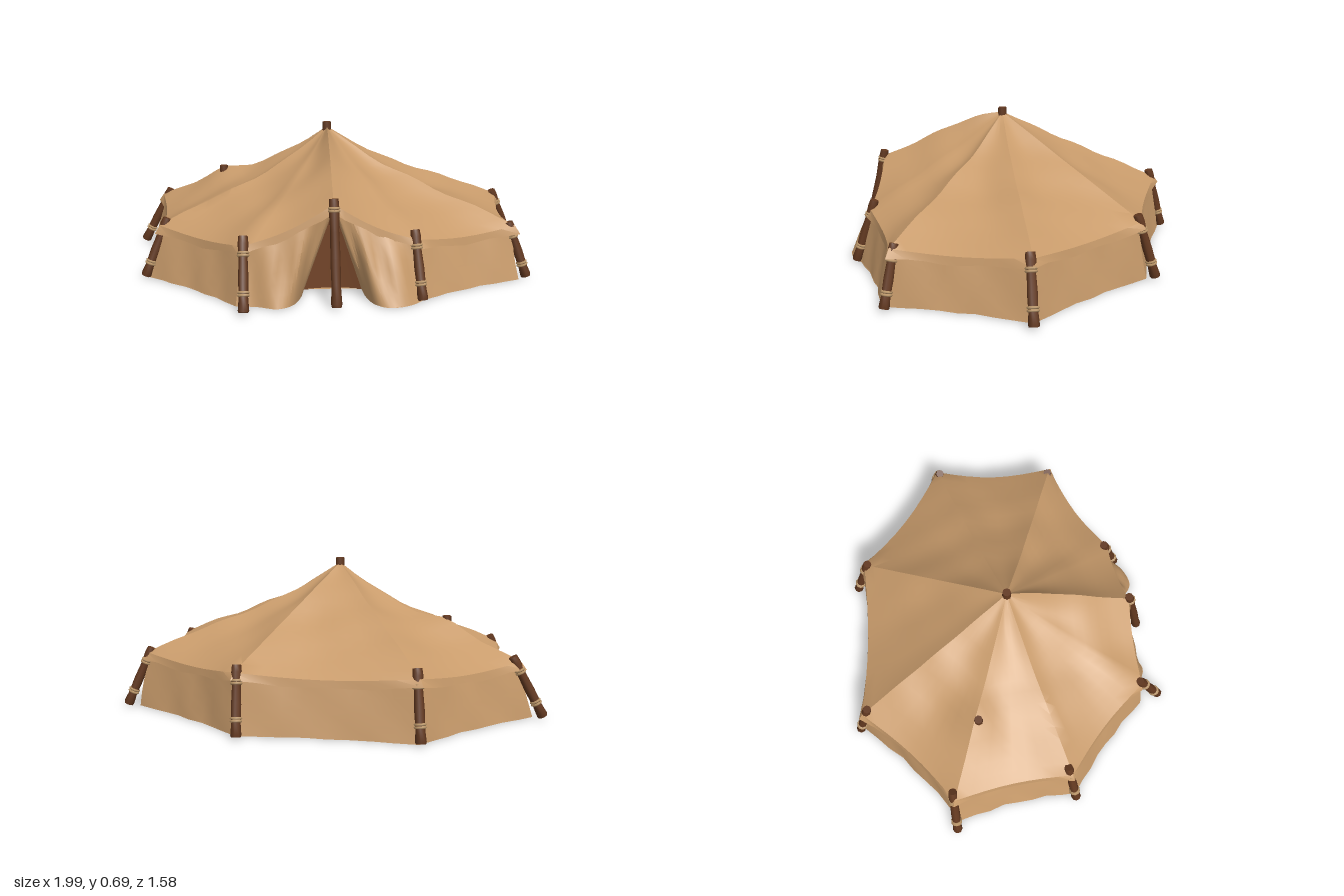
import * as THREE from 'three';
import { toCreasedNormals } from 'three/addons/utils/BufferGeometryUtils.js';

const mat = (name, color, side = THREE.FrontSide) => {
  const m = new THREE.MeshStandardMaterial({ color, side });
  m.name = name;
  return m;
};
const V = (x, y, z) => new THREE.Vector3(x, y, z);

// Corners, counter-clockwise from the entrance: roof rim, wall foot, pole top, pole foot, roof sag
const corners = [
  { rim: V(0, 0.43, 0.61), foot: V(0, 0, 0.6), top: V(0, 0.455, 0.61), base: V(0.01, 0.006, 0.71), sag: -0.03 },
  { rim: V(0.37, 0.26, 0.57), foot: V(0.4, 0, 0.61), top: V(0.355, 0.3, 0.55), base: V(0.385, 0.008, 0.64), sag: 0.02 },
  { rim: V(0.85, 0.25, 0.325), foot: V(0.87, 0, 0.36), top: V(0.82, 0.265, 0.31), base: V(0.91, 0.008, 0.335), sag: 0.035 },
  { rim: V(0.88, 0.26, -0.28), foot: V(0.92, 0, -0.29), top: V(0.86, 0.28, -0.265), base: V(0.975, 0.01, -0.3), sag: 0.035 },
  { rim: V(0.37, 0.27, -0.69), foot: V(0.36, 0, -0.72), top: V(0.36, 0.3, -0.67), base: V(0.35, 0.008, -0.76), sag: 0 },
  { rim: V(-0.42, 0.27, -0.73), foot: V(-0.42, 0, -0.76), top: V(-0.405, 0.31, -0.7), base: V(-0.425, 0.008, -0.775), sag: 0 },
  { rim: V(-0.87, 0.26, -0.315), foot: V(-0.93, 0, -0.3), top: V(-0.83, 0.285, -0.32), base: V(-0.975, 0.01, -0.32), sag: 0.04 },
  { rim: V(-0.8, 0.245, 0.255), foot: V(-0.85, 0, 0.28), top: V(-0.765, 0.275, 0.235), base: V(-0.87, 0.008, 0.28), sag: 0.04 },
  { rim: V(-0.39, 0.26, 0.645), foot: V(-0.42, 0, 0.67), top: V(-0.385, 0.3, 0.63), base: V(-0.38, 0.008, 0.765), sag: 0.03 },
];
const SEG = 8, N = corners.length, COLS = N * SEG;
const apex = V(-0.015, 0.67, 0.01);
const ripple = (x, z) => Math.sin(x * 17 + z * 9) * Math.sin(z * 15 - x * 6 + 1);

// Surface from rows x columns of points
function grid(rows, cols, point, crease = 0.6) {
  const pos = [], idx = [];
  for (let r = 0; r <= rows; r++) for (let c = 0; c <= cols; c++) pos.push(...point(r, c).toArray());
  for (let r = 0; r < rows; r++) for (let c = 0; c < cols; c++) {
    const a = r * (cols + 1) + c, b = a + cols + 1;
    idx.push(a, b, b + 1, a, b + 1, a + 1);
  }
  const g = new THREE.BufferGeometry();
  g.setAttribute('position', new THREE.Float32BufferAttribute(pos, 3));
  g.setIndex(idx);
  return toCreasedNormals(g, crease);
}

// Roof edge at a column: straight between corners, bowed in and sagging
function rimAt(c) {
  const i = Math.floor(c / SEG) % N, u = (c % SEG) / SEG;
  const a = corners[i], b = corners[(i + 1) % N], bow = Math.sin(Math.PI * u);
  const p = a.rim.clone().lerp(b.rim, u);
  const front = i === 0 || i === N - 1;
  p.x *= 1 - (front ? 0 : 0.03) * bow;
  p.z *= 1 - (front ? 0.01 : 0.03) * bow;
  p.y -= 0.025 * bow;
  return { p, bow, sag: THREE.MathUtils.lerp(a.sag, b.sag, u) };
}

// Foot of the plain walls
function footAt(c) {
  const i = Math.floor(c / SEG) % N, u = (c % SEG) / SEG, bow = Math.sin(Math.PI * u);
  const p = corners[i].foot.clone().lerp(corners[(i + 1) % N].foot, u);
  return p.multiplyScalar(1 - 0.025 * bow + 0.008 * bow * Math.sin(c * 2.3));
}

export function createModel() {
  const group = new THREE.Group();
  const canvas = mat('canvas', 0xc89b6b, THREE.DoubleSide);
  const wood = mat('dark wood', 0x633920);
  const rope = mat('rope', 0xbf9a6c);
  const inner = mat('inner cloth', 0x8a5433, THREE.DoubleSide);
  const add = (name, geo, material, parent = group) => {
    const m = new THREE.Mesh(geo, material);
    m.name = name;
    parent.add(m);
    return m;
  };

  // Roof with a hanging edge as its last row
  const RINGS = 14;
  add('roof', grid(RINGS + 1, COLS, (r, c) => {
    const { p: rim, bow, sag } = rimAt(c);
    if (r > RINGS) {
      const out = 1.008 + 0.02 * (1 - bow) ** 3;
      return V(rim.x * out, rim.y - 0.034 - 0.005 * Math.sin(c * 1.7), rim.z * out);
    }
    const t = 0.02 + 0.98 * r / RINGS, p = apex.clone().lerp(rim, t), mid = Math.sin(Math.PI * t);
    p.y -= mid * (1 - t) * sag * 1.8 + mid * bow * 0.008;
    p.y += 0.03 * Math.exp(-((p.x + 0.53) ** 2 + (p.z + 0.17) ** 2) / 0.02);
    p.y += 0.009 * mid * ripple(p.x, p.z);
    return p;
  }), canvas);

  // Walls around the sides and back
  const W0 = SEG, W1 = (N - 1) * SEG;
  add('walls', grid(4, W1 - W0, (r, k) => {
    const c = W0 + k, { p } = rimAt(c), t = r / 4;
    const top = V(p.x * 0.985, p.y - 0.02, p.z * 0.985);
    const q = top.lerp(footAt(c), t);
    const s = 1 + 0.008 * Math.sin(Math.PI * t) * Math.sin(c * 1.9);
    return V(q.x * s, q.y, q.z * s);
  }), canvas);

  // Entrance flaps drawn back in folds
  const FC = 20, flapFeet = [];
  for (const side of [1, -1]) {
    const end = side > 0 ? corners[1] : corners[N - 1];
    const curve = new THREE.CatmullRomCurve3([
      V(0.13, 0, 0.47), V(0.145, 0, 0.58), V(0.18, 0, 0.67), V(0.24, 0, 0.71), V(0.33, 0, 0.68),
    ].map(p => V(p.x * side, 0, p.z)).concat(end.foot));
    const feet = curve.getPoints(FC);
    flapFeet.push(feet);
    add(side > 0 ? 'leftFlap' : 'rightFlap', grid(6, FC, (r, k) => {
      const c = side > 0 ? k : FC - k, u = c / FC, t = r / 6;
      const top = corners[0].rim.clone().lerp(end.rim, u ** 1.3);
      top.y -= 0.02 + 0.02 * Math.sin(Math.PI * u);
      top.z -= 0.01;
      const p = top.lerp(feet[c], t);
      p.z += 0.014 * Math.sin(Math.PI * t) * Math.sin(u * 19);
      return p;
    }, 0.7), canvas);
  }

  // Dark cloth closing the entrance behind the flaps
  add('innerDoor', grid(4, 4, (r, k) =>
    V(0, 0.41, 0.595).lerp(V(-0.13 + 0.065 * k, 0, 0.47 - 0.02 * Math.sin(Math.PI * k / 4)), 0.02 + 0.98 * r / 4)), inner);

  // Ground sheet following the feet of flaps and walls
  const outline = [...flapFeet[0]];
  for (let c = W0 + 1; c < W1; c++) outline.push(footAt(c));
  outline.push(...flapFeet[1].slice().reverse());
  const floor = new THREE.ShapeGeometry(new THREE.Shape(outline.map(p => new THREE.Vector2(p.x, -p.z))));
  floor.rotateX(-Math.PI / 2);
  add('groundSheet', floor, canvas).position.y = 0.003;

  // Leaning poles with rope lashings
  function pole(name, base, top, lashings) {
    const g = new THREE.Group(), len = base.distanceTo(top);
    g.name = name;
    g.position.copy(base);
    g.quaternion.setFromUnitVectors(V(0, 1, 0), top.clone().sub(base).normalize());
    const profile = [[0, 0], [0.021, 0], [0.024, 0.03], [0.02, 0.2], [0.022, 0.45], [0.019, 0.7], [0.023, 0.9], [0.02, 1], [0, 1]]
      .map(([r, t]) => new THREE.Vector2(r, t * len));
    add('shaft', toCreasedNormals(new THREE.LatheGeometry(profile, 8), 0.9), wood, g);
    for (const t of lashings) for (const d of [-0.006, 0.006]) {
      const ring = add('lashing', new THREE.TorusGeometry(0.021, 0.006, 5, 10), rope, g);
      ring.rotation.x = Math.PI / 2;
      ring.position.y = t * len + d;
    }
    group.add(g);
  }
  corners.forEach((c, i) => pole(i ? 'cornerPole' : 'entrancePole', c.base, c.top, i ? [0.24, 0.76] : [0.9]));
  pole('centrePole', V(-0.015, 0.01, 0.01), V(-0.015, 0.692, 0.01), []);
  pole('sidePole', V(-0.53, 0.01, -0.17), V(-0.535, 0.442, -0.17), []);
  return group;
}
